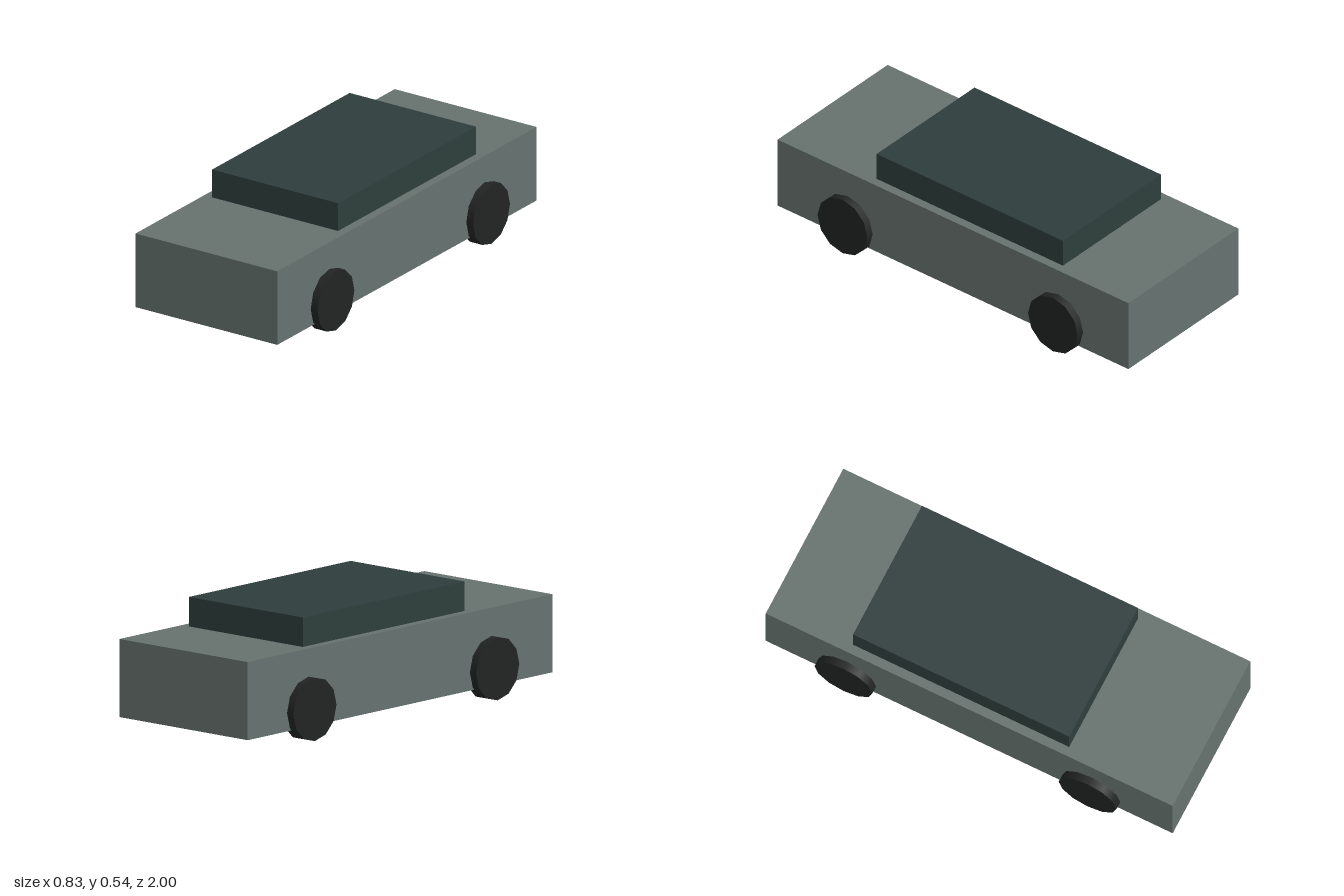
import * as THREE from 'three';

export function createModel() {
  const car = new THREE.Group();
  car.name = 'car';

  const add = (name, geometry, color, x, y, z) => {
    const mesh = new THREE.Mesh(geometry, new THREE.MeshStandardMaterial({ color }));
    mesh.name = name;
    mesh.position.set(x, y, z);
    car.add(mesh);
  };

  // Main body and the cabin set slightly towards the back
  add('body', new THREE.BoxGeometry(0.757, 0.35, 2), 0x66726f, 0, 0.235, 0);
  add('cabin', new THREE.BoxGeometry(0.673, 0.133, 1.062), 0x2e3e3c, 0, 0.4755, -0.061);

  // Four twelve-sided wheels, partly sunk into the body
  const wheel = new THREE.CylinderGeometry(0.142, 0.142, 0.066, 12).rotateZ(Math.PI / 2);
  for (const [side, x] of [['Left', 0.382], ['Right', -0.382]]) {
    for (const [end, z] of [['front', 0.6], ['back', -0.6]]) {
      add(`${end}${side}Wheel`, wheel, 0x212423, x, 0.142, z);
    }
  }
  return car;
}
